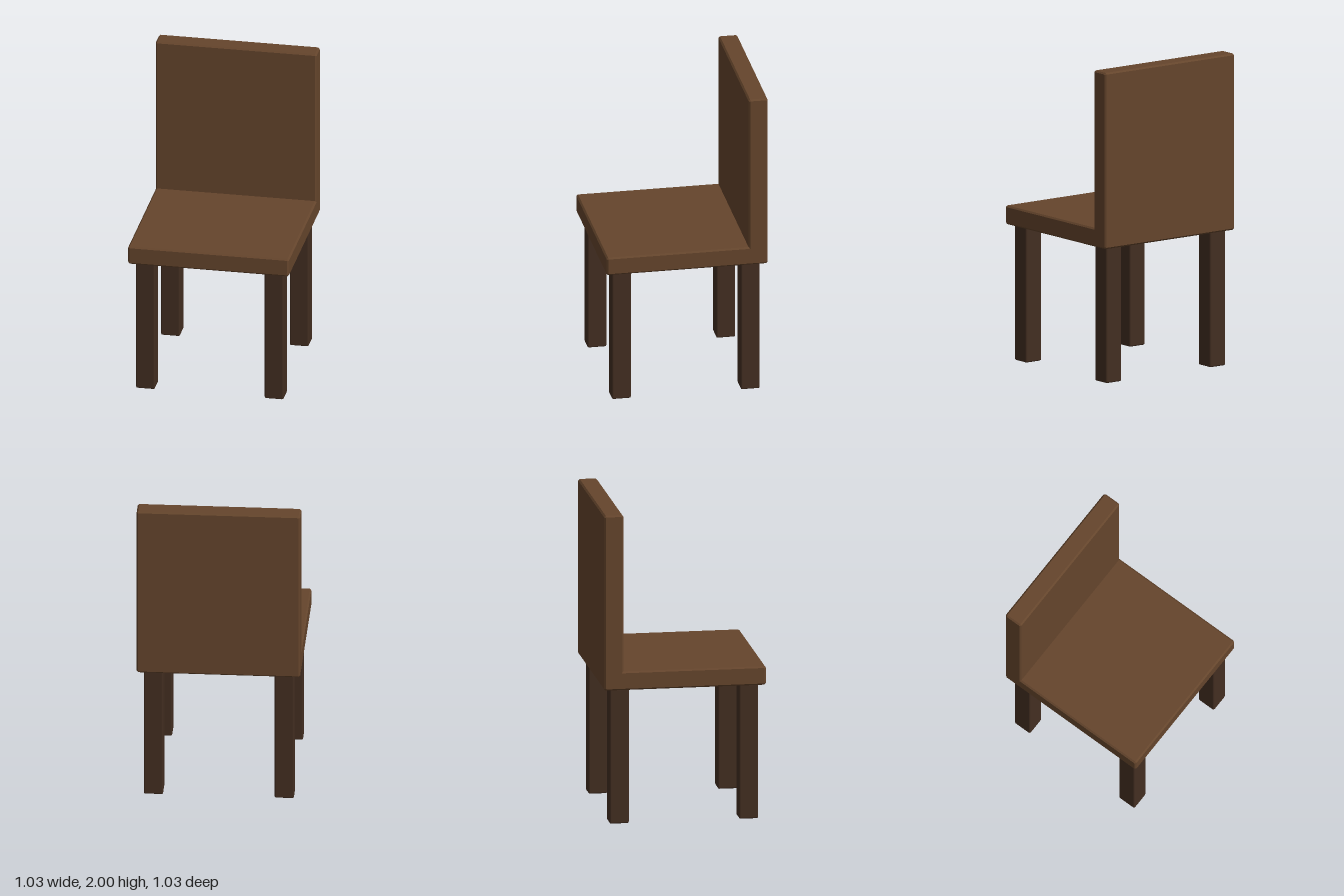
import * as THREE from 'three';
import { RoundedBoxGeometry } from 'three/addons/geometries/RoundedBoxGeometry.js';

const BEVEL = 0.01;

// L-shaped profile in (z, y), outer corners chamfered
function sideProfile() {
  const b = BEVEL;
  const front = 0.515, back = -0.515, panel = -0.393;
  const bottom = 0.87, seatTop = 0.99, top = 2;
  return new THREE.Shape([
    [back + b, bottom], [front - b, bottom], [front, bottom + b],
    [front, seatTop - b], [front - b, seatTop], [panel, seatTop],
    [panel, top - b], [panel - b, top], [back + b, top],
    [back, top - b], [back, bottom + b],
  ].map(([z, y]) => new THREE.Vector2(z, y)));
}

export function createModel() {
  const chair = new THREE.Group();
  chair.name = 'chair';
  const seatWood = new THREE.MeshStandardMaterial({ color: 0x65452c });
  const legWood = new THREE.MeshStandardMaterial({ color: 0x432e21 });

  // Seat and backrest in one piece, extruded across the width
  const width = 1.03;
  const body = new THREE.ExtrudeGeometry(sideProfile(), {
    depth: width - 2 * BEVEL,
    bevelThickness: BEVEL,
    bevelSize: BEVEL,
    bevelOffset: -BEVEL,
    bevelSegments: 1,
  });
  body.translate(0, 0, -width / 2 + BEVEL).rotateY(-Math.PI / 2);
  const seat = new THREE.Mesh(body, seatWood);
  seat.name = 'seatAndBackrest';
  chair.add(seat);

  // Four square legs with slightly softened edges
  const legHeight = 0.87;
  const legGeometry = new RoundedBoxGeometry(0.122, legHeight, 0.122, 1, BEVEL);
  for (const [sx, side] of [[1, 'Left'], [-1, 'Right']]) {
    for (const [sz, end] of [[1, 'front'], [-1, 'back']]) {
      const leg = new THREE.Mesh(legGeometry, legWood);
      leg.name = `${end}${side}Leg`;
      leg.position.set(sx * 0.412, legHeight / 2, sz * 0.412);
      chair.add(leg);
    }
  }
  return chair;
}
